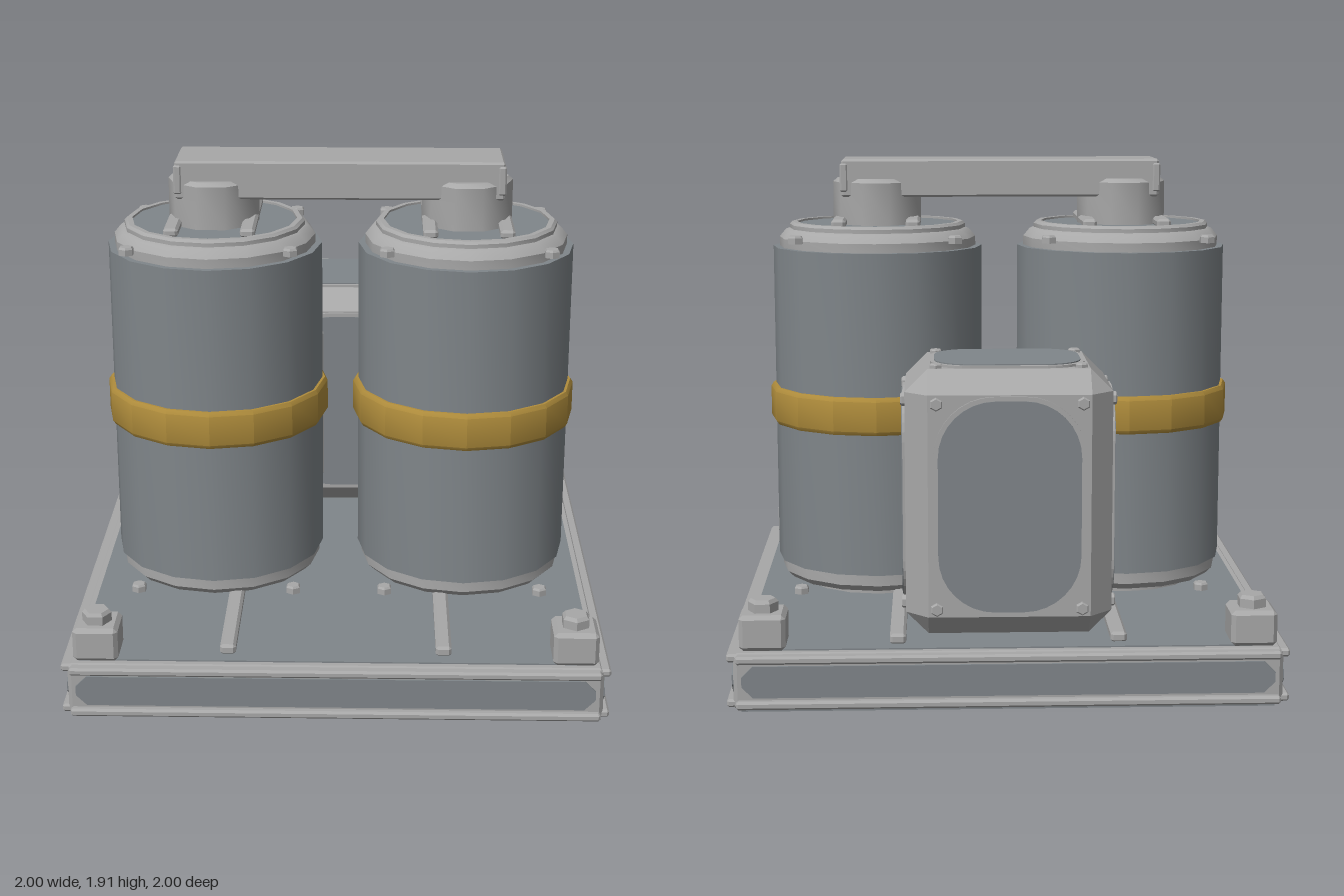
import * as THREE from 'three';
import { toCreasedNormals } from 'three/addons/utils/BufferGeometryUtils.js';
import { ConvexGeometry } from 'three/addons/geometries/ConvexGeometry.js';

const mat = (name, color) => {
  const m = new THREE.MeshStandardMaterial({ color });
  m.name = name;
  return m;
};

export function createModel() {
  const light = mat('light grey metal', 0xa8a8a8);
  const dark = mat('dark grey metal', 0x80868a);
  const gold = mat('ochre band', 0xb08d3c);
  const model = new THREE.Group();
  const SIGNS = [-1, 1];

  const add = (parent, name, geometry, material, x = 0, y = 0, z = 0) => {
    const mesh = new THREE.Mesh(geometry, material);
    mesh.name = name;
    mesh.position.set(x, y, z);
    parent.add(mesh);
    return mesh;
  };
  const group = (parent, name, x = 0, y = 0, z = 0) => {
    const g = new THREE.Group();
    g.name = name;
    g.position.set(x, y, z);
    parent.add(g);
    return g;
  };

  // Box with every edge cut off by c
  const chamferBox = (w, h, d, c) => {
    const pts = [];
    for (const sx of SIGNS) for (const sy of SIGNS) for (const sz of SIGNS) {
      const x = w / 2, y = h / 2, z = d / 2;
      pts.push(new THREE.Vector3(sx * x, sy * (y - c), sz * (z - c)));
      pts.push(new THREE.Vector3(sx * (x - c), sy * y, sz * (z - c)));
      pts.push(new THREE.Vector3(sx * (x - c), sy * (y - c), sz * z));
    }
    return new ConvexGeometry(pts);
  };
  // Turned part from [radius, height] pairs, bottom to top
  const turned = (pairs, sides, crease = 0.6) => toCreasedNormals(
    new THREE.LatheGeometry(pairs.map(p => new THREE.Vector2(...p)), sides), crease);
  const bolt = (r, h) => turned([[0, 0], [r, 0], [r, h * 0.75], [r * 0.8, h], [0, h]], 6, 0.3);

  // Thin plate facing +z with rounded or clipped corners
  const plate = (w, h, r, depth, clipped = false) => {
    const s = new THREE.Shape(), x = w / 2, y = h / 2;
    const corners = [[x, -y, 0, 1, -1, 0], [x, y, -1, 0, 0, -1], [-x, y, 0, -1, 1, 0], [-x, -y, 1, 0, 0, 1]];
    s.moveTo(-x + r, -y);
    for (const [cx, cy, ox, oy, ix, iy] of corners) {
      s.lineTo(cx + ix * r, cy + iy * r);
      const k = 0.45;
      if (clipped) s.lineTo(cx + ox * r, cy + oy * r);
      else s.bezierCurveTo(cx + ix * r * k, cy + iy * r * k, cx + ox * r * k, cy + oy * r * k,
        cx + ox * r, cy + oy * r);
    }
    return new THREE.ExtrudeGeometry(s, { depth, bevelEnabled: false, curveSegments: 8 });
  };

  // Base slab with framed edge panels
  const base = group(model, 'base');
  add(base, 'slab', chamferBox(1.95, 0.21, 1.95, 0.015), light, 0, 0.115, 0);
  add(base, 'underside', new THREE.BoxGeometry(1.9, 0.02, 1.9), dark, 0, 0.01, 0);
  add(base, 'deck', new THREE.BoxGeometry(1.88, 0.01, 1.88), dark, 0, 0.22, 0);
  for (let i = 0; i < 4; i++) {
    const side = group(base, 'baseSide');
    side.rotation.y = i * Math.PI / 2;
    add(side, 'edgePanel', plate(1.89, 0.115, 0.04, 0.008, true), dark, 0, 0.117, 0.974);
    add(side, 'upperRail', chamferBox(1.93, 0.03, 0.045, 0.008), light, 0, 0.2, 0.977);
    add(side, 'lowerRail', chamferBox(1.93, 0.03, 0.045, 0.008), light, 0, 0.035, 0.977);
    const corner = group(side, 'cornerBlock', 0.872, 0.22, 0.872);
    add(corner, 'block', chamferBox(0.165, 0.13, 0.165, 0.015), light, 0, 0.065, 0);
    add(corner, 'blockBolt', bolt(0.054, 0.05), light, 0, 0.125, 0);
  }
  for (const s of SIGNS)
    add(base, 'deckRail', chamferBox(0.058, 0.04, 1.78, 0.01), light, s * 0.395, 0.24, 0);

  // Pair of banded tanks
  for (const s of SIGNS) {
    const tank = group(model, s > 0 ? 'leftTank' : 'rightTank', s * 0.48, 0, 0.075);
    add(tank, 'foot', turned([[0, 0.22], [0.3, 0.22], [0.3, 0.26], [0, 0.26]], 16), light);
    add(tank, 'lowerFlange', turned([[0, 0.255], [0.37, 0.255], [0.395, 0.28], [0.395, 0.33], [0, 0.33]], 16), light);
    add(tank, 'body', turned([[0, 0.325], [0.41, 0.325], [0.41, 1.565], [0, 1.565]], 16), dark);
    add(tank, 'band', turned([[0.405, 0.875], [0.42, 0.875], [0.43, 0.89], [0.43, 1.005],
      [0.42, 1.02], [0.405, 1.02]], 16), gold);
    add(tank, 'upperFlange', turned([[0.385, 1.56], [0.385, 1.6], [0.36, 1.63], [0.345, 1.635],
      [0.345, 1.65], [0.335, 1.66], [0.315, 1.66], [0.315, 1.635]], 16), light);
    add(tank, 'lid', turned([[0.318, 1.6], [0.318, 1.652], [0, 1.652]], 16), dark);
    for (const t of SIGNS) {
      add(tank, 'lidRail', chamferBox(0.055, 0.035, 0.53, 0.01), light, t * 0.142, 1.665, 0);
      for (const u of SIGNS) {
        add(tank, 'upperBolt', bolt(0.03, 0.03), light, t * 0.302, 1.595, u * 0.302);
        add(tank, 'lowerBolt', bolt(0.03, 0.03), light, t * 0.302, 0.232, u * 0.302);
      }
    }
    const neck = add(tank, 'neck', turned([[0, 1.65], [0.172, 1.65], [0.172, 1.815],
      [0.155, 1.83], [0, 1.83]], 10, 0.7), light);
    neck.rotation.y = Math.PI / 2;
  }

  // Crossbar joining the tank necks
  const bar = group(model, 'crossbar', 0, 0, 0.073);
  add(bar, 'beam', chamferBox(1.23, 0.145, 0.26, 0.008), light, 0, 1.833, 0);
  for (const s of SIGNS) for (const t of SIGNS)
    add(bar, 'beamClip', chamferBox(0.03, 0.11, 0.03, 0.006), light, s * 0.605, 1.835, t * 0.12);

  // Chamfered equipment box behind the tanks
  const unit = group(model, 'rearUnit', 0, 0.742, -0.69);
  const hx = 0.365, hy = 0.475, hz = 0.29, c = 0.08;
  add(unit, 'housing', chamferBox(hx * 2, hy * 2, hz * 2, c), light);
  // [x turn, y turn, distance, half width, half height, window width, window height, corner]
  const faces = [
    [0, 0, hz, hx, hy, 0.5, 0.75, 0.2],
    [0, Math.PI, hz, hx, hy, 0.5, 0.75, 0.2],
    [0, Math.PI / 2, hx, hz, hy, 0.37, 0.75, 0.165],
    [0, -Math.PI / 2, hx, hz, hy, 0.37, 0.75, 0.165],
    [-Math.PI / 2, 0, hy, hx, hz, 0.52, 0.38, 0.13],
  ];
  for (const [rx, ry, dist, fw, fh, w, h, r] of faces) {
    const face = group(unit, 'housingFace');
    face.rotation.set(rx, ry, 0);
    add(face, 'windowRim', plate(w + 0.03, h + 0.03, r + 0.01, 0.014), light, 0, 0, dist - 0.005);
    add(face, 'window', plate(w, h, r, 0.008), dark, 0, 0, dist + 0.005);
    for (const s of SIGNS) for (const t of SIGNS) {
      const b = add(face, 'faceBolt', bolt(0.024, 0.018), light,
        s * (fw - c - 0.03), t * (fh - c - 0.03), dist - 0.003);
      b.rotation.x = Math.PI / 2;
    }
  }
  for (const s of SIGNS)
    add(unit, 'frontStrip', chamferBox(0.05, 0.635, 0.045, 0.008), light, s * 0.105, 0, hz + 0.016);

  return model;
}
